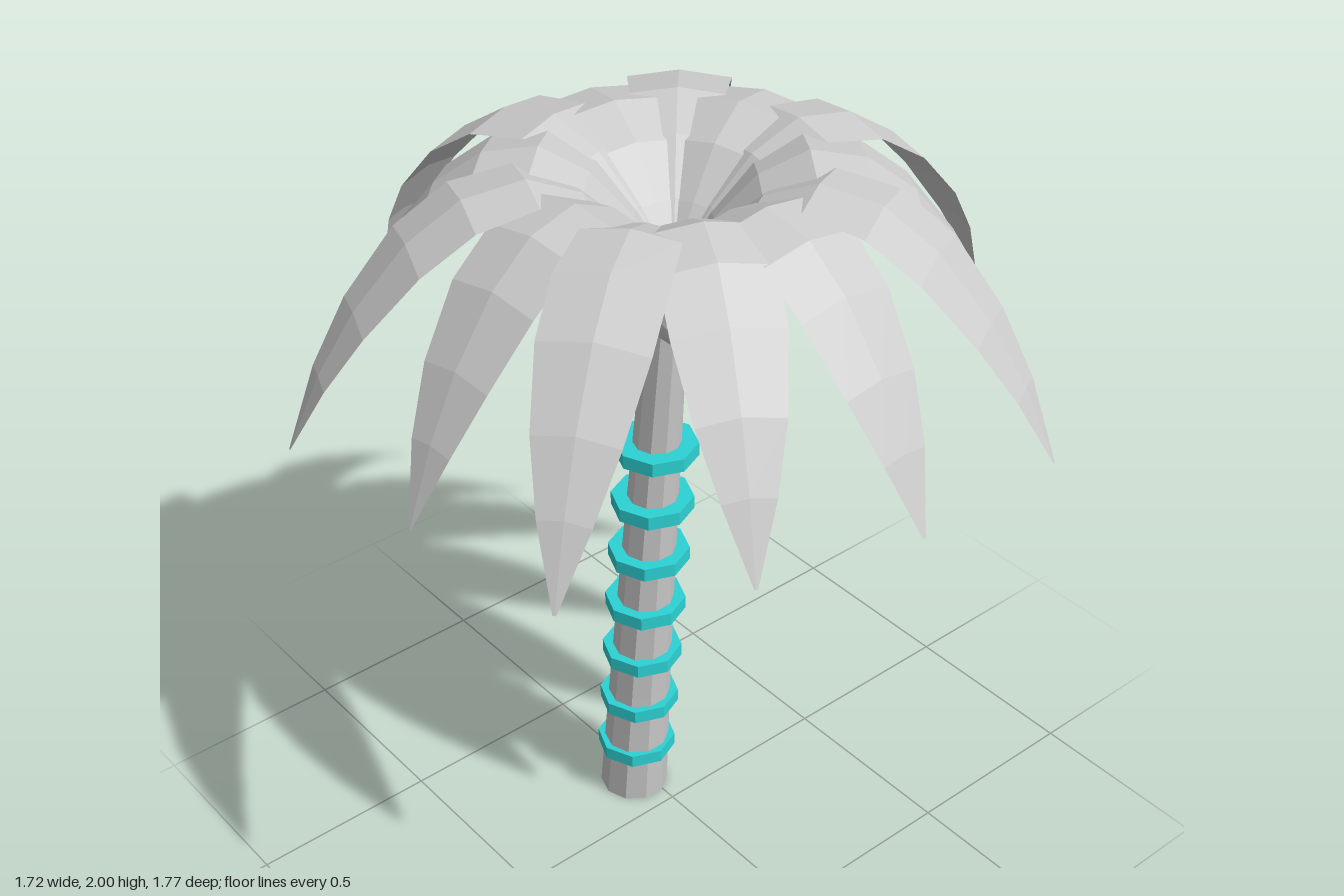
import * as THREE from 'three';

const grey = new THREE.MeshStandardMaterial({ color: 0xcccccc });
grey.name = 'paleGrey';
const leafGrey = grey;
leafGrey.side = THREE.DoubleSide;
const teal = new THREE.MeshStandardMaterial({ color: 0x2dd2d4 });
teal.name = 'turquoise';

// Faceted mesh: split the faces so that each has its own normal
function facetedMesh(geometry, material, name) {
  const flat = geometry.index ? geometry.toNonIndexed() : geometry;
  flat.computeVertexNormals();
  const mesh = new THREE.Mesh(flat, material);
  mesh.name = name;
  return mesh;
}

const HUB = new THREE.Vector3(0.035, 1.72, 0.025);
const TRUNK_Z = 0.03;

// Trunk centre line: leans towards +x, a little more near the top
const trunkX = (y) => -0.132 + 0.08 * y + 0.009 * y * y;

function createTrunk() {
  const height = 1.73;
  const geometry = new THREE.CylinderGeometry(1, 1, height, 10, 9);
  geometry.translate(0, height / 2, 0);
  const p = geometry.attributes.position;
  for (let i = 0; i < p.count; i++) {
    const y = p.getY(i);
    const radius = 0.092 - 0.026 * y;
    p.setXYZ(i, trunkX(y) + p.getX(i) * radius, y, TRUNK_Z + p.getZ(i) * radius);
  }
  return facetedMesh(geometry, grey, 'trunk');
}

function createRing(y) {
  const ring = facetedMesh(new THREE.CylinderGeometry(0.105, 0.105, 0.037, 8), teal, 'trunkRing');
  ring.position.set(trunkX(y), y, TRUNK_Z);
  return ring;
}

// Frond rows: share of the length, height, half width
const FROND = [
  [0, 1.72, 0.008],
  [0.11, 1.84, 0.045],
  [0.23, 1.945, 0.085],
  [0.37, 2.0, 0.112],
  [0.53, 1.975, 0.126],
  [0.67, 1.89, 0.124],
  [0.81, 1.745, 0.098],
  [0.91, 1.6, 0.06],
  [1, 1.42, 0.004],
];

// A frond arches up and out from the hub, then droops to its tip
function createFrond(tipX, tipZ) {
  const dx = tipX - HUB.x;
  const dz = tipZ - HUB.z;
  const length = Math.hypot(dx, dz);
  const geometry = new THREE.PlaneGeometry(2, 1, 2, FROND.length - 1);
  const p = geometry.attributes.position;
  for (let i = 0; i < p.count; i++) {
    const [t, y, half] = FROND[Math.floor(i / 3)];
    const side = p.getX(i);
    p.setXYZ(i, side * half, y - HUB.y - Math.abs(side) * half * 0.15, t * length);
  }
  const frond = facetedMesh(geometry, leafGrey, 'frond');
  frond.position.copy(HUB);
  frond.rotation.y = Math.atan2(dx, dz);
  return frond;
}

export function createModel() {
  const model = new THREE.Group();
  model.name = 'palmTree';
  model.add(createTrunk());

  // Seven evenly spaced bands
  const rings = new THREE.Group();
  rings.name = 'trunkRings';
  for (let i = 0; i < 7; i++) rings.add(createRing(0.163 + i * 0.171));
  model.add(rings);

  // Crown of fronds, placed by their tips
  const crown = new THREE.Group();
  crown.name = 'crown';
  const tips = [
    [0.14, -0.89], [0.5, -0.65], [0.85, -0.4], [0.86, 0.02], [0.76, 0.41],
    [0.56, 0.78], [0.13, 0.84], [-0.29, 0.88], [-0.58, 0.57], [-0.86, 0.24],
    [-0.77, -0.17], [-0.66, -0.59], [-0.26, -0.75],
  ];
  for (const [x, z] of tips) crown.add(createFrond(x, z));
  model.add(crown);

  // Coconuts under the crown
  const coconuts = new THREE.Group();
  coconuts.name = 'coconuts';
  for (const [x, y, z] of [[-0.015, 1.685, 0.095], [0.085, 1.685, -0.04], [0.125, 1.655, 0.075]]) {
    const nut = facetedMesh(new THREE.IcosahedronGeometry(0.075, 2), grey, 'coconut');
    nut.position.set(x, y, z);
    coconuts.add(nut);
  }
  model.add(coconuts);
  return model;
}
